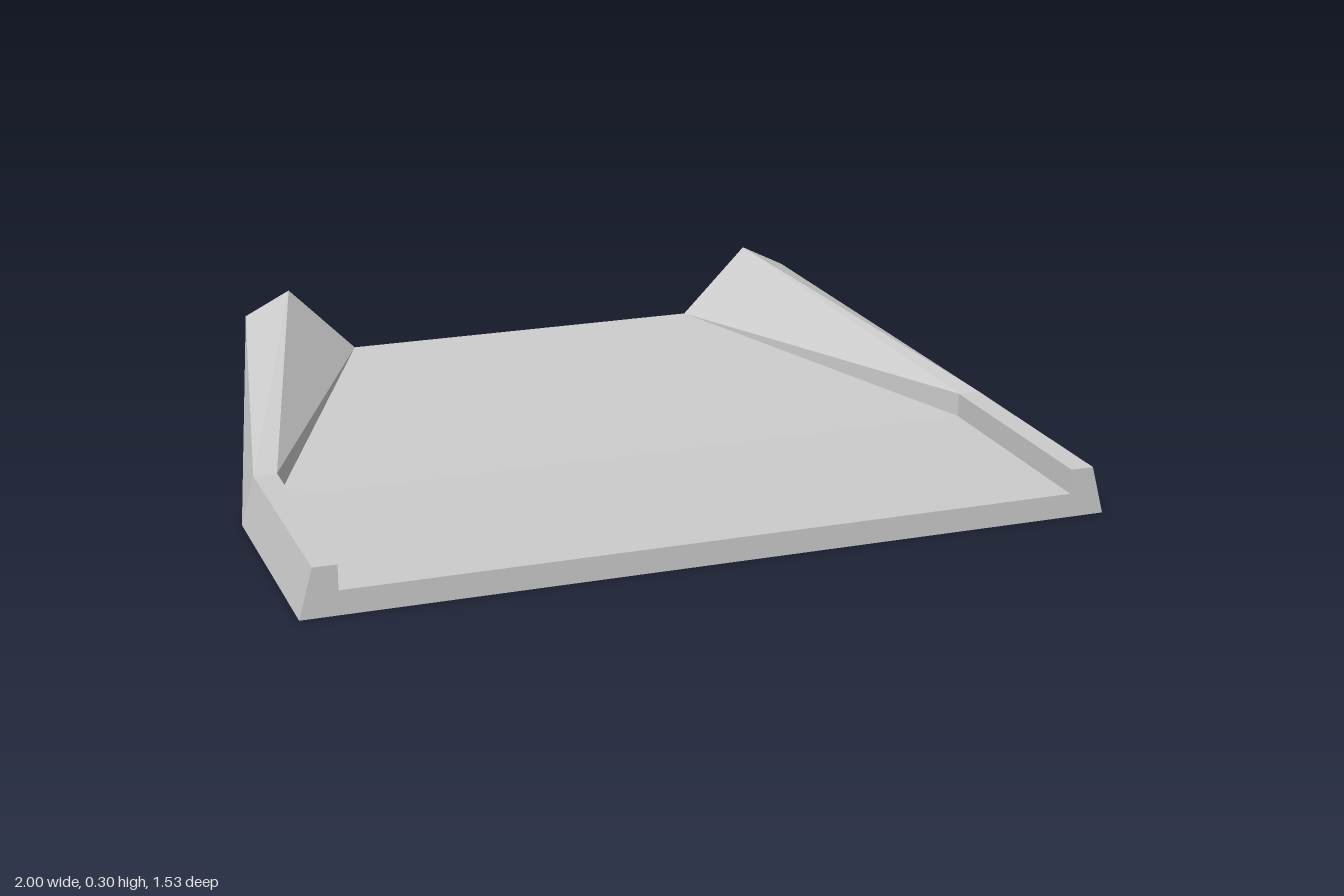
import * as THREE from 'three';

// Half cross-sections, counter-clockwise seen from the front:
// bottom centre, bottom edge, rim outer, rim inner, floor edge, floor centre
const straight = [[0, 0], [1, 0], [0.967, 0.122], [0.909, 0.122], [0.909, 0.06], [0, 0.06]];
const raised = [[0, 0], [0.54, 0], [0.787, 0.242], [0.666, 0.303], [0.487, 0.122], [0, 0.122]];
const sections = [
  { z: 0.763, points: straight },
  { z: 0.152, points: straight },
  { z: -0.763, points: raised },
];

function halfTray(side) {
  const positions = [];
  const triangle = (a, b, c) => {
    const corners = side > 0 ? [a, b, c] : [a, c, b];
    corners.forEach(([x, y, z]) => positions.push(side * x, y, z));
  };
  const rings = sections.map(({ z, points }) => points.map(([x, y]) => [x, y, z]));

  // Skin between neighbouring sections (the centre plane stays open)
  for (let s = 0; s < rings.length - 1; s++) {
    const a = rings[s], b = rings[s + 1];
    for (let i = 0; i < a.length - 1; i++) {
      triangle(a[i], b[i], b[i + 1]);
      triangle(a[i], b[i + 1], a[i + 1]);
    }
  }

  // Front and back end faces
  const cap = (ring, flip) => {
    const outline = ring.map(([x, y]) => new THREE.Vector2(x, y));
    THREE.ShapeUtils.triangulateShape(outline, []).forEach(([i, j, k]) =>
      flip ? triangle(ring[i], ring[k], ring[j]) : triangle(ring[i], ring[j], ring[k]));
  };
  cap(rings[0], false);
  cap(rings[rings.length - 1], true);

  const geometry = new THREE.BufferGeometry();
  geometry.setAttribute('position', new THREE.Float32BufferAttribute(positions, 3));
  geometry.computeVertexNormals();
  return geometry;
}

export function createModel() {
  const group = new THREE.Group();
  group.name = 'tray';
  const grey = new THREE.MeshStandardMaterial({ color: 0xcccccc });
  grey.name = 'light grey';

  for (const side of [1, -1]) {
    const mesh = new THREE.Mesh(halfTray(side), grey);
    mesh.name = side > 0 ? 'leftHalf' : 'rightHalf';
    group.add(mesh);
  }
  return group;
}
